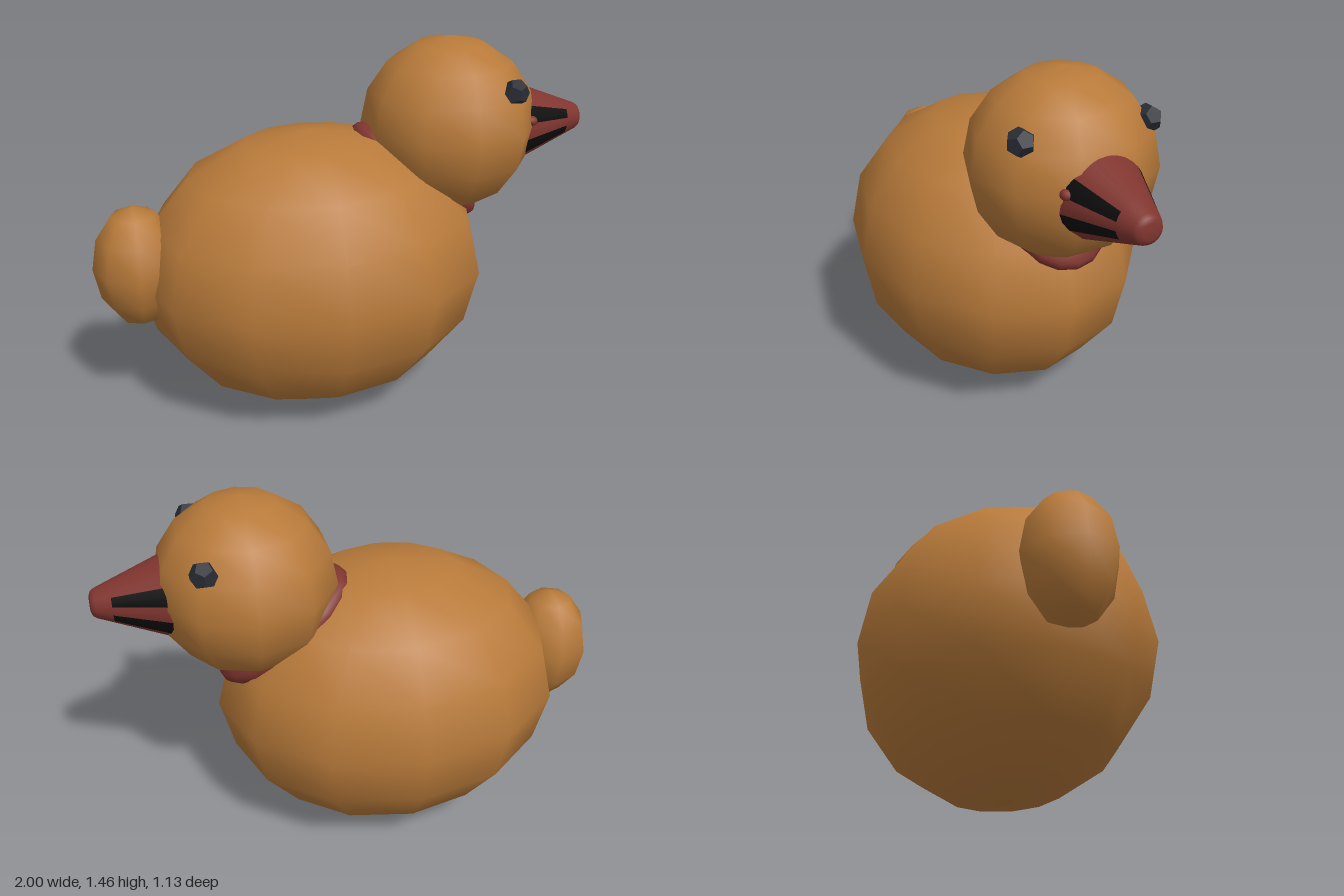
import * as THREE from 'three';

export function createModel() {
  const model = new THREE.Group();
  model.name = 'duckling';

  const feather = new THREE.MeshStandardMaterial({ color: 0xb87a3a, name: 'featherBrown' });
  const red = new THREE.MeshStandardMaterial({ color: 0x80352f, name: 'beakRed' });
  const black = new THREE.MeshStandardMaterial({ color: 0x0c0c0c, name: 'stripeBlack' });
  const eyeDark = new THREE.MeshStandardMaterial({ color: 0x2a2d36, name: 'eyeDark' });
  eyeDark.flatShading = true;

  function add(name, geometry, material, x, y, z, parent = model) {
    const mesh = new THREE.Mesh(geometry, material);
    mesh.name = name;
    mesh.position.set(x, y, z);
    parent.add(mesh);
    return mesh;
  }
  const ellipsoid = (rx, ry, rz, w, h) => new THREE.SphereGeometry(1, w, h).scale(rx, ry, rz);

  // Body, head and tail: coarse, smoothly shaded ellipsoids
  add('body', ellipsoid(0.7, 0.565, 0.565, 12, 8), feather, -0.13, 0.57, 0);
  const headGeometry = new THREE.SphereGeometry(0.348, 10, 8).rotateY(Math.PI / 2);
  add('head', headGeometry, feather, 0.43, 1.113, -0.003);
  add('tail', ellipsoid(0.17, 0.245, 0.175, 8, 6), feather, -0.83, 0.645, 0);

  // Neck piece that just shows at the throat and nape
  const neck = add('neck', ellipsoid(0.317, 0.1, 0.22, 20, 14), red, 0.3, 0.92, -0.02);
  neck.rotation.z = -0.65;

  // Beak: sectors of a blunt cone along x, with two black stripes on each side
  const beak = new THREE.Group();
  beak.name = 'beak';
  beak.position.set(0, 1.095, 0);
  model.add(beak);
  const deg = Math.PI / 180;
  function beakSector(name, profile, from, to, material) {
    const points = profile.map(([r, x]) => new THREE.Vector2(r, x));
    const sides = Math.max(2, Math.round((to - from) / 13));
    const geometry = new THREE.LatheGeometry(points, sides, from * deg, (to - from) * deg);
    geometry.rotateZ(-Math.PI / 2);
    add(name, geometry, material, 0, 0, 0, beak);
  }
  const base = [[0.181, 0.66], [0.079, 0.92]];
  const tip = [[0.079, 0.92], [0.056, 0.978], [0.047, 0.992], [0.03, 0.999], [0, 1]];
  beakSector('beakTip', tip, 0, 360, red);
  for (const side of [0, 180]) {
    beakSector('beakSideBand', base, side - 12, side + 12, red);
    beakSector('beakUpperStripe', base, side - 38, side - 12, black);
    beakSector('beakLowerStripe', base, side + 12, side + 38, black);
    beakSector('beakRidge', base, side + 38, side + 142, red);
  }

  // Small red spot at the left corner of the beak
  add('beakCorner', ellipsoid(0.025, 0.02, 0.02, 10, 8), red, 0.725, 1.135, 0.145);

  // Eyes
  for (const side of [1, -1]) {
    const name = side > 0 ? 'leftEye' : 'rightEye';
    add(name, new THREE.DodecahedronGeometry(0.052), eyeDark, 0.6, 1.287, side * 0.243);
  }

  return model;
}
